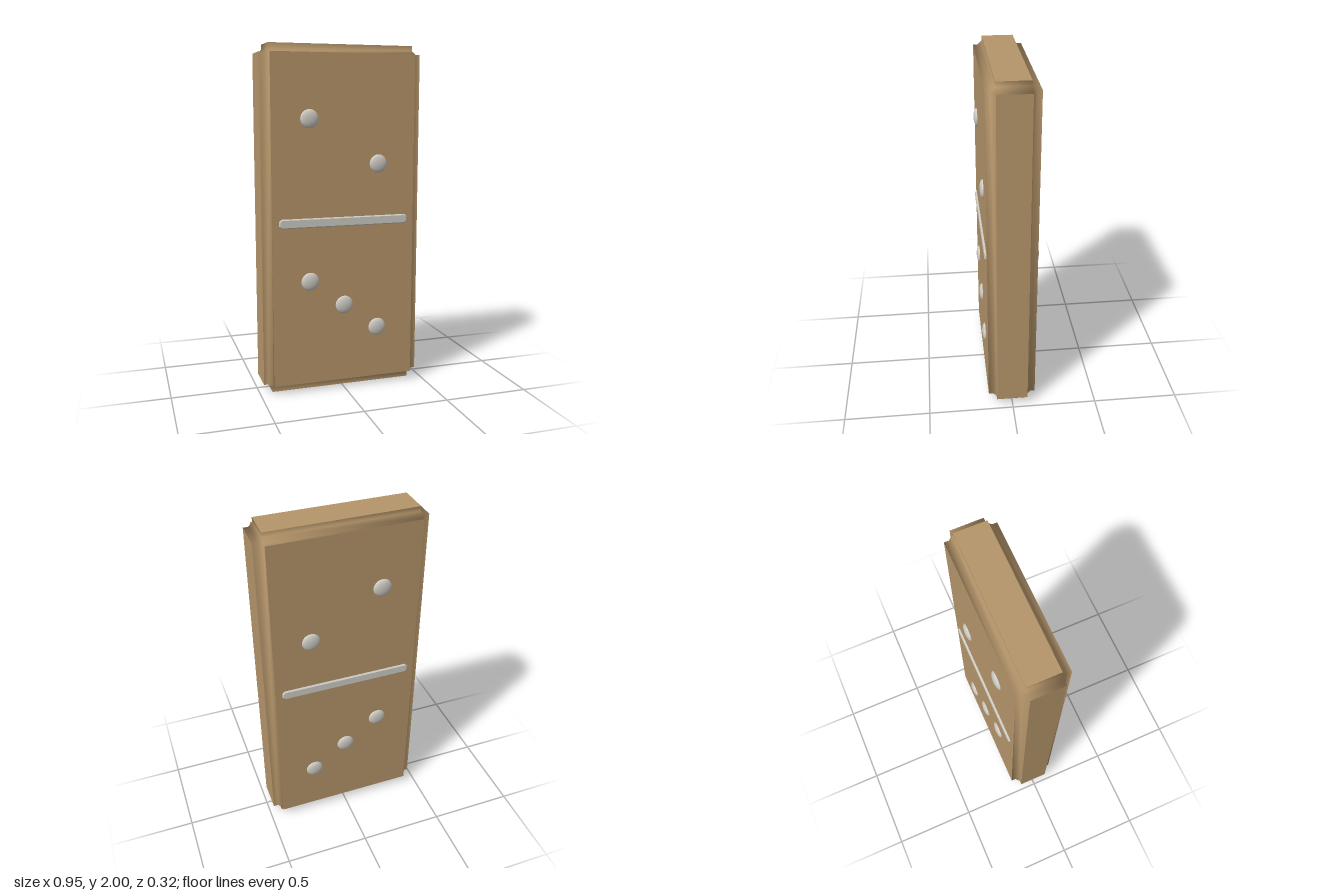
import * as THREE from 'three';
import { mergeVertices } from 'three/addons/utils/BufferGeometryUtils.js';

const HALF = [0.475, 1, 0.14]; // half width, height, depth
const INSET = 0.05;            // depth of the stepped edges
const FILLET = 0.023;          // slope inside each step

// Collects triangles, turning each one to face a given outward direction
function makeSurface(smooth) {
  const positions = [];
  const a = new THREE.Vector3(), b = new THREE.Vector3();
  const tri = (p, q, r, out) => {
    a.subVectors(q, p);
    b.subVectors(r, p);
    const corners = a.cross(b).dot(out) >= 0 ? [p, q, r] : [p, r, q];
    corners.forEach((c) => positions.push(c.x, c.y, c.z));
  };
  const quad = (p, q, r, s, out) => { tri(p, q, r, out); tri(p, r, s, out); };
  const build = () => {
    let geo = new THREE.BufferGeometry();
    geo.setAttribute('position', new THREE.Float32BufferAttribute(positions, 3));
    if (smooth) geo = mergeVertices(geo, 1e-4);
    geo.computeVertexNormals();
    return geo;
  };
  return { tri, quad, build };
}

// Point from values given for axes i, j, k
function point(i, vi, j, vj, k, vk) {
  const p = new THREE.Vector3();
  return p.setComponent(i, vi).setComponent(j, vj).setComponent(k, vk);
}

// The six flat faces of the tile
function facePanels() {
  const surface = makeSurface(false);
  for (let k = 0; k < 3; k++) {
    const i = (k + 1) % 3, j = (k + 2) % 3;
    const u = HALF[i] - INSET, v = HALF[j] - INSET;
    for (const s of [-1, 1]) {
      const c = [[-u, -v], [u, -v], [u, v], [-u, v]].map(([x, y]) => point(i, x, j, y, k, s * HALF[k]));
      surface.quad(...c, point(i, 0, j, 0, k, s));
    }
  }
  return surface.build();
}

// Twelve coved edges and the eight small corner facets between them
function covedEdges() {
  const surface = makeSurface(true);
  const signs = [-1, 1];
  const [hx, hy, hz] = HALF.map((h) => h - INSET);
  for (let k = 0; k < 3; k++) {
    const i = (k + 1) % 3, j = (k + 2) % 3;
    const u = HALF[i] - INSET, v = HALF[j] - INSET, end = HALF[k] - INSET;
    const profile = [[u, HALF[j]], [u, v + FILLET], [u + FILLET, v], [HALF[i], v]];
    for (const si of signs) for (const sj of signs) {
      const out = point(i, si, j, sj, k, 0);
      const at = (n, z) => point(i, si * profile[n][0], j, sj * profile[n][1], k, z);
      for (let n = 0; n < 3; n++) {
        surface.quad(at(n, -end), at(n, end), at(n + 1, end), at(n + 1, -end), out);
      }
    }
  }
  for (const x of signs) for (const y of signs) for (const z of signs) {
    const out = new THREE.Vector3(x, y, z);
    const at = (dx, dy, dz) => new THREE.Vector3(hx + dx, hy + dy, hz + dz).multiply(out);
    surface.tri(at(FILLET, 0, 0), at(0, FILLET, 0), at(0, 0, FILLET), out);
  }
  return surface.build();
}

// Divider bar with clipped corners and a small bevel
function dividerGeometry() {
  const w = 0.379, h = 0.021, c = 0.01;
  const shape = new THREE.Shape([
    [-w + c, -h], [w - c, -h], [w, -h + c], [w, h - c],
    [w - c, h], [-w + c, h], [-w, h - c], [-w, -h + c],
  ].map(([x, y]) => new THREE.Vector2(x, y)));
  return new THREE.ExtrudeGeometry(shape, {
    depth: 0.015, bevelEnabled: true, bevelThickness: 0.006, bevelSize: 0.006, bevelSegments: 1,
  });
}

export function createModel() {
  const wood = new THREE.MeshStandardMaterial({ color: 0xb5956a });
  wood.name = 'wood';
  const ivory = new THREE.MeshStandardMaterial({ color: 0xcfccc4 });
  ivory.name = 'ivory';

  const model = new THREE.Group();
  model.name = 'dominoTile';
  const add = (parent, name, geometry, material, x, y, z) => {
    const mesh = new THREE.Mesh(geometry, material);
    mesh.name = name;
    mesh.position.set(x, y, z);
    parent.add(mesh);
    return mesh;
  };

  // Tile body
  add(model, 'facePanels', facePanels(), wood, 0, 1, 0);
  add(model, 'covedEdges', covedEdges(), wood, 0, 1, 0);

  // Pips and divider, the same on front and back
  const pips = [[-0.205, 1.588], [0.205, 1.33], [-0.205, 0.66], [0, 0.508], [0.205, 0.355]];
  const pipGeometry = new THREE.SphereGeometry(0.053, 24, 16).scale(1, 1, 0.36);
  const barGeometry = dividerGeometry();
  for (const side of [1, -1]) {
    const group = new THREE.Group();
    group.name = side > 0 ? 'frontMarkings' : 'backMarkings';
    pips.forEach(([x, y]) => add(group, 'pip', pipGeometry, ivory, x, y, side * 0.14));
    const bar = add(group, 'divider', barGeometry, ivory, 0, 1.002, side * 0.129);
    if (side < 0) bar.rotation.y = Math.PI;
    model.add(group);
  }
  return model;
}
